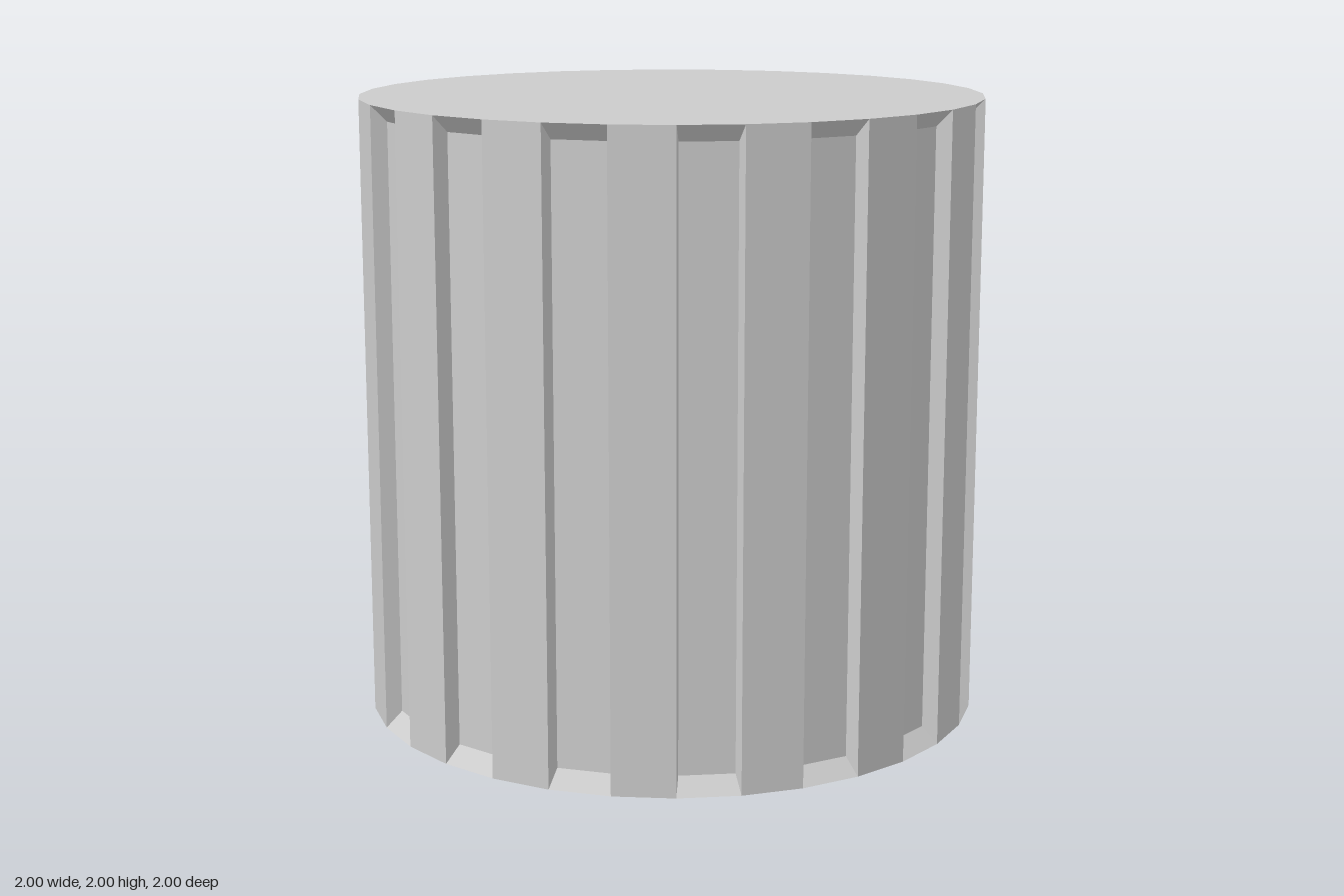
import * as THREE from 'three';

const SIDES = 32, RADIUS = 1, HEIGHT = 2;
const DEPTH = 0.05;      // how far the grooves sink in
const SIDE_INSET = 0.0115; // narrowing of the groove floor on each side
const END_INSET = 0.052; // slope at the top and bottom of each groove

const material = new THREE.MeshStandardMaterial({ color: 0xcccccc, flatShading: true });

// Flat-shaded mesh from quads with corners counter-clockwise seen from outside
function quadMesh(name, quads) {
  const pos = [];
  for (const [a, b, c, d] of quads) {
    for (const p of [a, b, c, a, c, d]) pos.push(p.x, p.y, p.z);
  }
  const geometry = new THREE.BufferGeometry();
  geometry.setAttribute('position', new THREE.Float32BufferAttribute(pos, 3));
  geometry.computeVertexNormals();
  const mesh = new THREE.Mesh(geometry, material);
  mesh.name = name;
  return mesh;
}

// Point on the rim; angle runs from the front towards +x
function rim(k, y) {
  const a = (k / SIDES) * Math.PI * 2;
  return new THREE.Vector3(RADIUS * Math.sin(a), y, RADIUS * Math.cos(a));
}

// Corners of one side panel
const panel = (k) => [rim(k, 0), rim(k + 1, 0), rim(k + 1, HEIGHT), rim(k, HEIGHT)];

// Sunken floor of a panel plus its four sloping walls
function groove(k) {
  const outer = panel(k);
  const a = ((k + 0.5) / SIDES) * Math.PI * 2;
  const normal = new THREE.Vector3(Math.sin(a), 0, Math.cos(a));
  const across = new THREE.Vector3(Math.cos(a), 0, -Math.sin(a));
  const inner = outer.map((p, i) => {
    const q = p.clone().addScaledVector(normal, -DEPTH);
    q.addScaledVector(across, i === 0 || i === 3 ? SIDE_INSET : -SIDE_INSET);
    q.y += i < 2 ? END_INSET : -END_INSET;
    return q;
  });
  const walls = outer.map((p, i) => {
    const j = (i + 1) % 4;
    return [p, outer[j], inner[j], inner[i]];
  });
  return [inner, ...walls];
}

export function createModel() {
  const model = new THREE.Group();
  model.name = 'groovedCylinder';

  // Raised ribs alternate with grooves
  const ribs = [], grooves = [];
  for (let k = 0; k < SIDES; k++) {
    if (k % 2 === 0) ribs.push(panel(k));
    else grooves.push(...groove(k));
  }
  model.add(quadMesh('ribs', ribs), quadMesh('grooves', grooves));

  // Flat end caps
  for (const [name, y, turn] of [['topCap', HEIGHT, -1], ['bottomCap', 0, 1]]) {
    const cap = new THREE.Mesh(new THREE.CircleGeometry(RADIUS, SIDES), material);
    cap.name = name;
    cap.rotation.x = (turn * Math.PI) / 2;
    cap.position.y = y;
    model.add(cap);
  }
  return model;
}
